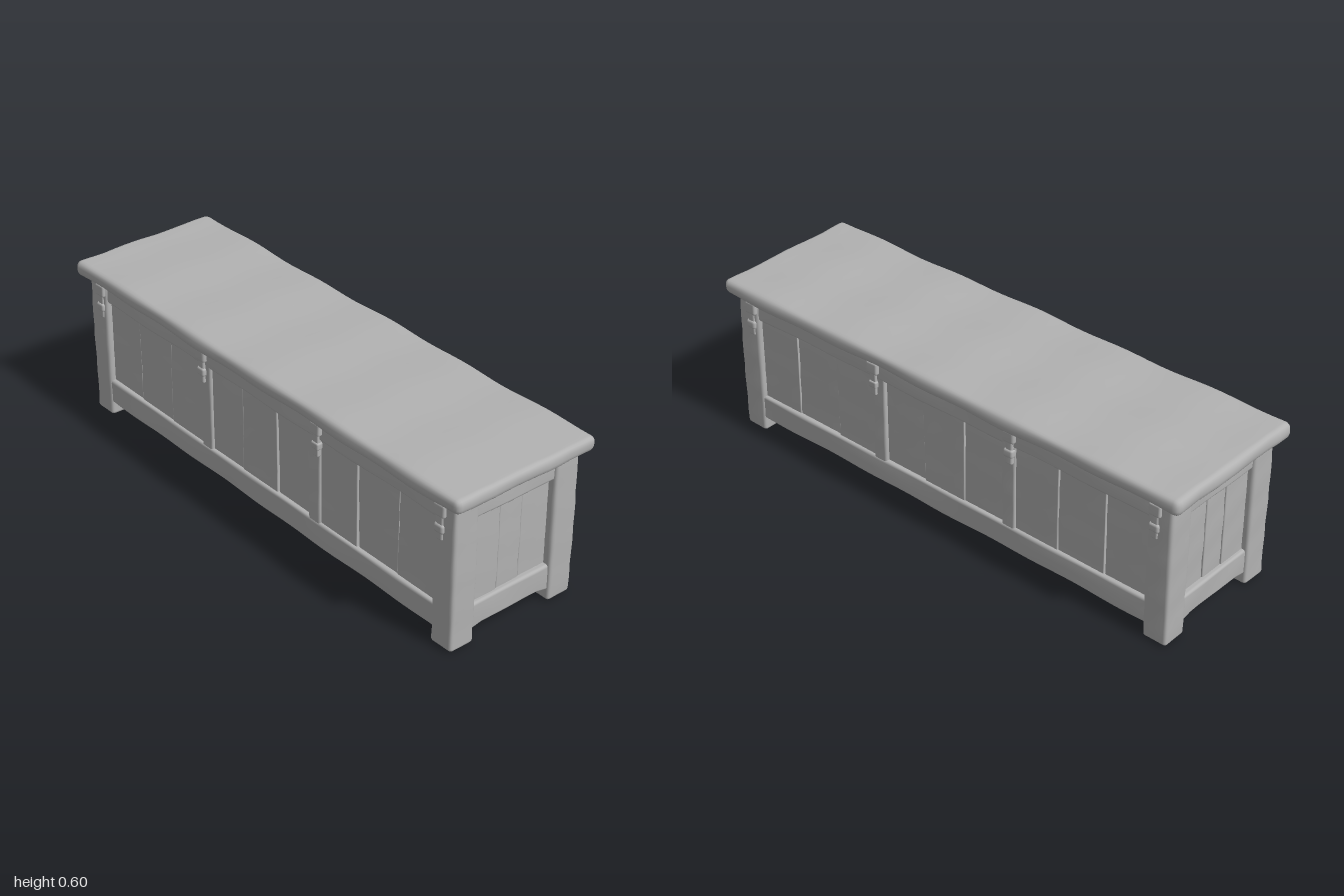
import * as THREE from 'three';
import { mergeVertices } from 'three/addons/utils/BufferGeometryUtils.js';

const wood = new THREE.MeshStandardMaterial({ color: 0xb2b2b2 });
wood.name = 'plain grey wood';

// Gentle hand-hewn unevenness, depending only on position
const wave = (a, b, c) => Math.sin(a * 17 + b * 5 + 1.3) * 0.6 + Math.sin(b * 23 - a * 7 + c * 11) * 0.4;

// Places grid step t (0..1) so that the outer two steps lie in the rounded edge
function spread(t, n, half, r) {
  const i = Math.round(t * n);
  if (i <= 2) return -half + (r * i) / 2;
  if (i >= n - 2) return half - (r * (n - i)) / 2;
  return -half + r + ((2 * half - 2 * r) * (i - 2)) / (n - 4);
}

// Soft-edged timber given by its min and max corners
function timber(name, min, max, r = 0.012, wobble = 0.0025, deform) {
  const size = max.map((v, i) => v - min[i]);
  const mid = max.map((v, i) => (v + min[i]) / 2);
  const half = size.map((v) => v / 2);
  const n = size.map((v) => 4 + Math.max(1, Math.min(40, Math.round(v / 0.05))));
  let geo = new THREE.BoxGeometry(1, 1, 1, ...n);
  geo.deleteAttribute('uv');
  geo.deleteAttribute('normal');
  const pos = geo.attributes.position;
  for (let k = 0; k < pos.count; k++) {
    const p = [0, 1, 2].map((a) => spread(pos.getComponent(k, a) + 0.5, n[a], half[a], r));
    const inner = p.map((v, a) => THREE.MathUtils.clamp(v, -half[a] + r, half[a] - r));
    const out = new THREE.Vector3(...p.map((v, a) => v - inner[a])).normalize();
    const q = new THREE.Vector3(...inner).addScaledVector(out, r).add(new THREE.Vector3(...mid));
    q.addScaledVector(out, wobble * (wave(q.z, q.y * 2, q.x * 2) - 0.4));
    if (deform) deform(q);
    pos.setXYZ(k, q.x, q.y, q.z);
  }
  geo = mergeVertices(geo, 1e-5);
  geo.computeVertexNormals();
  const mesh = new THREE.Mesh(geo, wood);
  mesh.name = name;
  return mesh;
}

export function createModel() {
  const chest = new THREE.Group();
  chest.name = 'storageBench';

  // Lid with shallow splits at its ends
  chest.add(timber('lid', [-0.295, 0.538, -1], [0.295, 0.599, 1], 0.024, 0.004, (q) => {
    if (Math.abs(q.z) < 0.95) return;
    for (const split of [-0.165, 0.065, 0.2]) {
      const d = Math.max(0, 1 - Math.abs(q.x - split) / 0.025);
      q.z -= Math.sign(q.z) * 0.005 * d;
    }
  }));

  // Inner box with a flat underside
  const core = new THREE.Mesh(new THREE.BoxGeometry(0.46, 0.49, 1.84), wood);
  core.name = 'innerBox';
  core.position.y = 0.3;
  chest.add(core);

  // Corner posts with feet
  for (const sx of [-1, 1]) {
    for (const sz of [-1, 1]) {
      const x = [0.16 * sx, 0.262 * sx].sort((a, b) => a - b);
      const z = [0.862 * sz, 0.96 * sz].sort((a, b) => a - b);
      chest.add(timber('cornerPost', [x[0], 0, z[0]], [x[1], 0.55, z[1]], 0.014));
    }
  }

  // Long sides: rails, dividers, boards and carved brackets
  for (const s of [-1, 1]) {
    const side = new THREE.Group();
    side.name = s > 0 ? 'leftSide' : 'rightSide';
    const add = (name, x0, x1, y0, y1, z0, z1, r) => {
      const x = [x0 * s, x1 * s].sort((a, b) => a - b);
      side.add(timber(name, [x[0], y0, z0], [x[1], y1, z1], r));
    };
    add('bottomRail', 0.2, 0.257, 0.052, 0.148, -0.89, 0.89);
    add('topRail', 0.2, 0.255, 0.462, 0.55, -0.89, 0.89);
    for (const z of [-0.293, 0.287]) add('divider', 0.2, 0.254, 0.12, 0.5, z - 0.03, z + 0.03, 0.01);

    const bays = [[-0.88, -0.31], [-0.28, 0.27], [0.3, 0.88]];
    bays.forEach(([a, b], bay) => {
      const w = (b - a) / 3;
      for (let i = 0; i < 3; i++) {
        const depth = 0.24 + 0.003 * ((i + bay) % 3);
        add('panelBoard', 0.21, depth, 0.12, 0.49, a + w * i, a + w * (i + 1), 0.004);
      }
    });

    for (const z of [-0.893, -0.303, 0.303, 0.893]) {
      const reach = Math.abs(z) > 0.5 ? 0.273 : 0.27;
      add('bracketTop', 0.24, reach, 0.485, 0.535, z - 0.026, z + 0.026, 0.01);
      add('bracketStem', 0.24, reach - 0.006, 0.4, 0.51, z - 0.015, z + 0.015, 0.007);
      add('bracketKnob', 0.24, reach - 0.001, 0.428, 0.46, z - 0.02, z + 0.02, 0.009);
    }
    chest.add(side);
  }

  // Short ends: arched bottom rail, top rail and boards
  for (const s of [-1, 1]) {
    const end = new THREE.Group();
    end.name = s > 0 ? 'frontEnd' : 'backEnd';
    const add = (name, x0, x1, y0, y1, z1, r, deform) => {
      const z = [0.89 * s, z1 * s].sort((a, b) => a - b);
      end.add(timber(name, [x0, y0, z[0]], [x1, y1, z[1]], r, 0.0025, deform));
    };
    add('bottomRail', -0.18, 0.18, 0.05, 0.143, 0.95, 0.012, (q) => {
      if (q.y < 0.08) q.y -= 0.012 * Math.pow(Math.abs(q.x) / 0.17, 6);
    });
    add('topRail', -0.18, 0.18, 0.46, 0.55, 0.95, 0.012);
    const cuts = [-0.18, -0.05, 0.045, 0.18];
    for (let i = 0; i < 3; i++) {
      add('panelBoard', cuts[i], cuts[i + 1], 0.11, 0.49, 0.935 - 0.003 * i, 0.005);
    }
    chest.add(end);
  }

  return chest;
}
